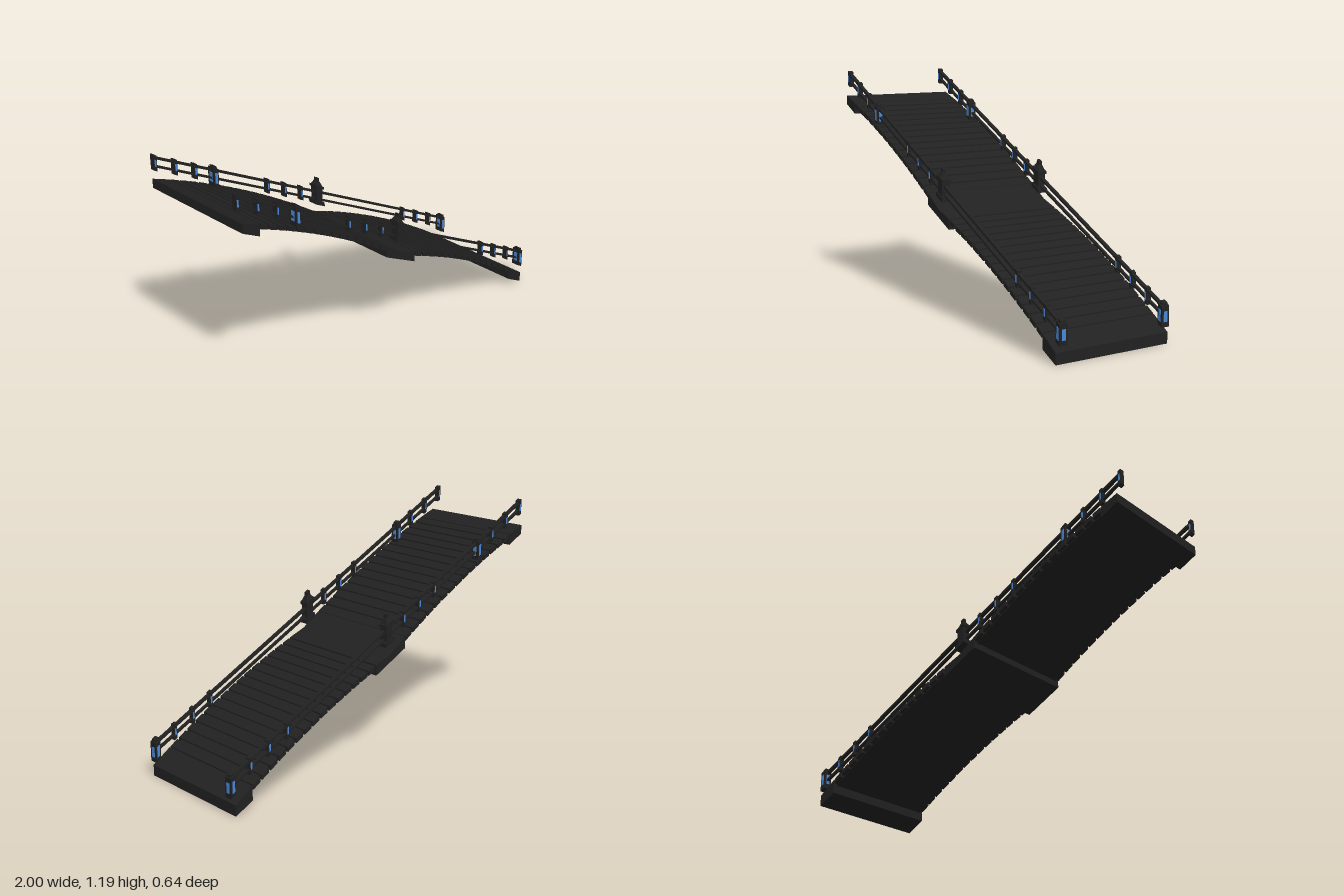
import * as THREE from 'three';

const SLOPE = -0.505;
const charcoal = new THREE.MeshStandardMaterial({ color: 0x212121 });
charcoal.name = 'charcoal';
const blue = new THREE.MeshStandardMaterial({ color: 0x4a88d8 });
blue.name = 'blue';

// Leans a geometry along the fall of the bridge, keeping uprights vertical
function shear(geo, slope = SLOPE) {
  const p = geo.attributes.position;
  for (let i = 0; i < p.count; i++) p.setY(i, p.getY(i) + slope * p.getX(i));
  geo.computeVertexNormals();
  return geo;
}

function add(parent, name, geo, mat, x = 0, y = 0, z = 0) {
  const m = new THREE.Mesh(geo, mat);
  m.name = name;
  m.position.set(x, y, z);
  parent.add(m);
  return m;
}

function slopedBox(parent, name, w, h, d, x, y, z, mat = charcoal, slope = SLOPE) {
  return add(parent, name, shear(new THREE.BoxGeometry(w, h, d), slope), mat, x, y, z);
}

// Side outline pushed across the width of the bridge
function slab(parent, name, points, width) {
  const shape = new THREE.Shape(points.map(([x, y]) => new THREE.Vector2(x, y)));
  const geo = new THREE.ExtrudeGeometry(shape, { depth: width, bevelEnabled: false });
  geo.translate(0, 0, -width / 2);
  return add(parent, name, geo, charcoal);
}

// Upper surface of the two shallow arches
function deckY(x) {
  const left = x < 0;
  const t = left ? (x + 0.985) / 0.985 : x / 0.98;
  const y = left ? 1.058 - 0.505 * t : 0.553 - 0.498 * t;
  return y + 0.16 * t * (1 - t);
}

const railY = (x) => 0.675 + SLOPE * x;

function archSpan(parent, x0, x1) {
  const span = new THREE.Group();
  span.name = 'archSpan';
  parent.add(span);
  // Continuous curved underlay
  const top = [], bottom = [];
  for (let i = 0; i <= 15; i++) {
    const x = x0 + ((x1 - x0) * i) / 15;
    top.push([x, deckY(x) - 0.007]);
    bottom.unshift([x, deckY(x) - 0.028]);
  }
  slab(span, 'underlay', [...top, ...bottom], 0.6);
  // Separate cross planks
  const count = 15, pitch = (x1 - x0) / count, w = pitch - 0.011;
  for (let i = 0; i < count; i++) {
    const x = x0 + pitch * (i + 0.5);
    const slope = (deckY(x + w / 2) - deckY(x - w / 2)) / w;
    slopedBox(span, 'plank', w, 0.024, 0.64, x, deckY(x) - 0.012, 0, charcoal, slope);
  }
}

function smallPost(parent, x, z) {
  const y = railY(x) - 0.025;
  slopedBox(parent, 'smallPost', 0.017, 0.078, 0.026, x, y, z);
  for (const s of [-1, 1]) {
    slopedBox(parent, 'smallPostPanel', 0.008, 0.034, 0.003, x, y, z + s * 0.0135, blue);
  }
}

function mediumPost(parent, x, z) {
  const y = railY(x) - 0.037;
  slopedBox(parent, 'mediumPost', 0.028, 0.1, 0.044, x, y, z);
  slopedBox(parent, 'mediumPostCap', 0.02, 0.012, 0.03, x, y + 0.055, z);
  for (const s of [-1, 1]) {
    slopedBox(parent, 'mediumPostSidePanel', 0.014, 0.055, 0.004, x, y, z + s * 0.0225, blue);
    add(parent, 'mediumPostEndPanel', new THREE.BoxGeometry(0.004, 0.05, 0.02), blue,
      x + s * 0.0145, y + s * SLOPE * 0.0145, z);
  }
}

function centrePost(parent, z) {
  slopedBox(parent, 'centrePostBase', 0.058, 0.022, 0.056, 0, 0.615, z);
  slopedBox(parent, 'centrePostShaft', 0.04, 0.09, 0.042, 0, 0.665, z);
  slopedBox(parent, 'centrePostCollar', 0.052, 0.014, 0.052, 0, 0.706, z);
  const cap = new THREE.CylinderGeometry(0.015, 0.031, 0.025, 4).toNonIndexed();
  cap.rotateY(Math.PI / 4);
  add(parent, 'centrePostCap', shear(cap), charcoal, 0, 0.725, z);
  slopedBox(parent, 'centrePostFinial', 0.018, 0.022, 0.02, 0, 0.745, z);
}

export function createModel() {
  const model = new THREE.Group();
  model.name = 'slopedBridge';

  archSpan(model, -0.89, -0.1);
  archSpan(model, 0.1, 0.88);

  // Solid abutments and the middle pier
  slab(model, 'upperAbutment',
    [[-0.985, 1.012], [-0.89, 0.965], [-0.89, deckY(-0.89)], [-0.985, 1.058]], 0.64);
  slab(model, 'middlePier',
    [[-0.103, 0.562], [0.096, 0.464], [0.096, deckY(0.096)], [0, 0.553], [-0.103, deckY(-0.103)]], 0.64);
  slab(model, 'lowerAbutment',
    [[0.88, 0.05], [0.978, 0], [0.978, 0.055], [0.88, deckY(0.88)]], 0.64);

  // Matching railings on both sides
  for (const side of [-1, 1]) {
    const z = side * 0.29;
    const railing = new THREE.Group();
    railing.name = side > 0 ? 'frontRailing' : 'backRailing';
    model.add(railing);
    slopedBox(railing, 'topRail', 1.975, 0.012, 0.02, -0.006, railY(-0.006), z);
    slopedBox(railing, 'lowerRail', 1.975, 0.011, 0.016, -0.006, railY(-0.006) - 0.042, z);
    for (const x of [-0.99, -0.88, -0.77, -0.335, -0.225, -0.115, 0.65, 0.76, 0.87]) {
      smallPost(railing, x, z);
    }
    mediumPost(railing, -0.66, z);
    mediumPost(railing, 0.981, z);
    centrePost(railing, z);
  }
  return model;
}
